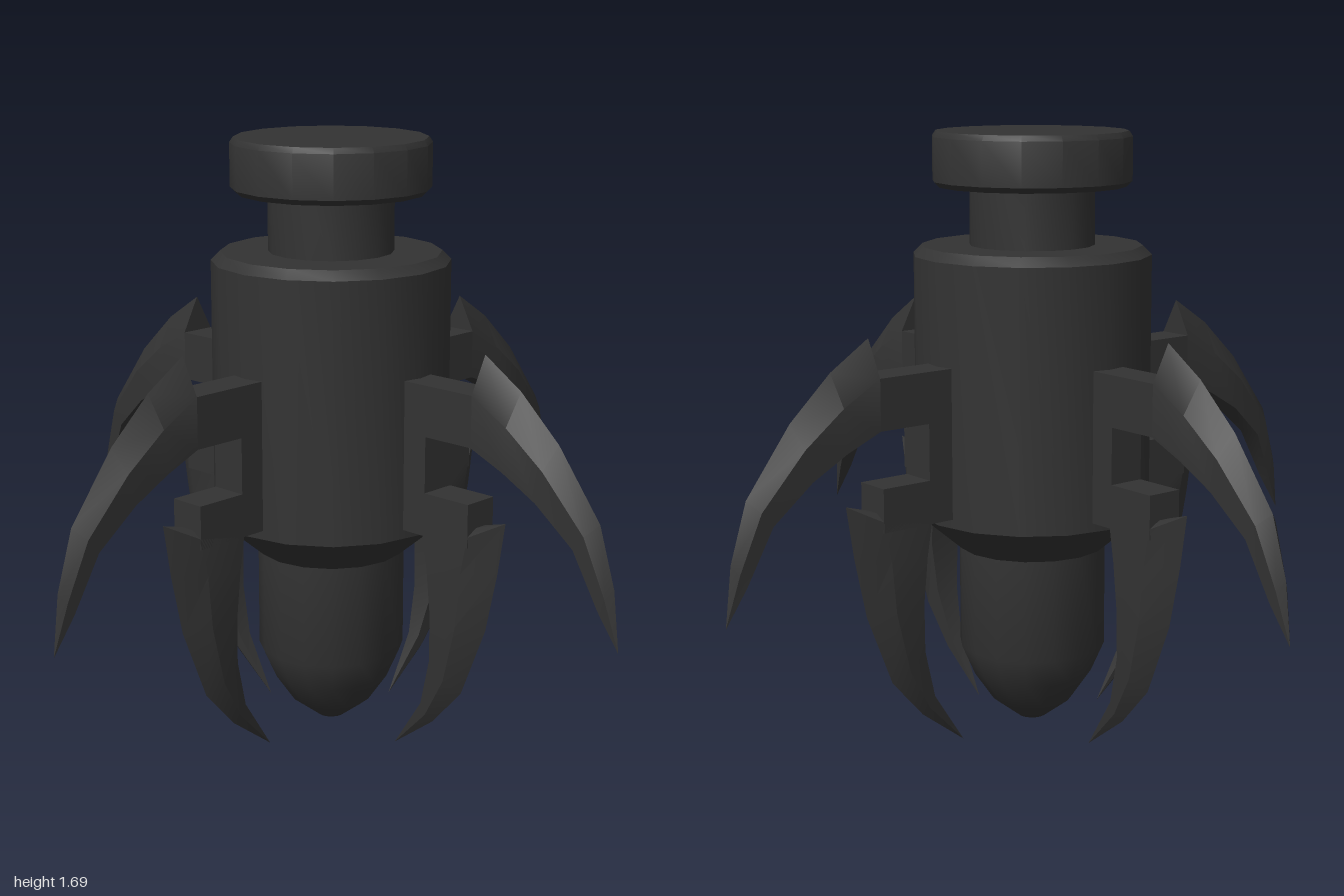
import * as THREE from 'three';
import { toCreasedNormals } from 'three/addons/utils/BufferGeometryUtils.js';

const material = new THREE.MeshStandardMaterial({ color: 0x333333 });

function part(name, geometry, crease = 0.6) {
  const mesh = new THREE.Mesh(toCreasedNormals(geometry, crease), material);
  mesh.name = name;
  return mesh;
}

function lathe(name, profile) {
  const points = profile.map(([r, y]) => new THREE.Vector2(r, y));
  return part(name, new THREE.LatheGeometry(points, 16));
}

// Five-sided blade: sharp ridge outside, flat inside, ending in a point.
// Each section is [outerX, outerY, innerX, innerY, halfWidth].
function blade(name, sections, shoulder) {
  const rings = sections.map(([ox, oy, ix, iy, w], i) => {
    let sx = ox + (ix - ox) * 0.42, sy = oy + (iy - oy) * 0.42;
    if (i === 0) [sx, sy] = shoulder;
    return [[ox, oy, 0], [sx, sy, w], [ix, iy, w], [ix, iy, -w], [sx, sy, -w]];
  });
  const pos = [];
  const last = rings.length - 1;
  for (let i = 0; i < last; i++) {
    for (let j = 0; j < 5; j++) {
      const k = (j + 1) % 5;
      const a = rings[i][j], b = rings[i][k], c = rings[i + 1][k], d = rings[i + 1][j];
      pos.push(...a, ...b, ...c);
      if (i + 1 < last) pos.push(...a, ...c, ...d);
    }
  }
  for (let j = 1; j < 4; j++) pos.push(...rings[0][0], ...rings[0][j + 1], ...rings[0][j]);
  const geometry = new THREE.BufferGeometry();
  geometry.setAttribute('position', new THREE.Float32BufferAttribute(pos, 3));
  return part(name, geometry);
}

// C-shaped bracket fixed to the body, with an upper and a lower arm
function bracket() {
  const shape = new THREE.Shape([
    [0.25, 0.67], [0.545, 0.67], [0.545, 0.79], [0.395, 0.79],
    [0.395, 0.945], [0.55, 0.945], [0.55, 1.085], [0.25, 1.085],
  ].map(([x, y]) => new THREE.Vector2(x, y)));
  const geometry = new THREE.ExtrudeGeometry(shape, { depth: 0.104, bevelEnabled: false });
  geometry.translate(0, 0, -0.052);
  return part('clawBracket', geometry);
}

function clawArm() {
  const arm = new THREE.Group();
  arm.name = 'clawArm';
  arm.add(
    bracket(),
    blade('upperClaw', [
      [0.55, 1.185, 0.55, 0.945, 0.052],
      [0.67, 1.107, 0.655, 0.90, 0.052],
      [0.795, 0.99, 0.76, 0.84, 0.048],
      [0.93, 0.81, 0.873, 0.74, 0.036],
      [0.98, 0.65, 0.945, 0.59, 0.02],
      [1.0, 0.485, 1.0, 0.485, 0],
    ], [0.55, 1.085]),
    blade('lowerClaw', [
      [0.63, 0.745, 0.39, 0.67, 0.052],
      [0.607, 0.60, 0.405, 0.58, 0.052],
      [0.57, 0.43, 0.415, 0.45, 0.048],
      [0.49, 0.228, 0.405, 0.31, 0.036],
      [0.39, 0.115, 0.362, 0.168, 0.02],
      [0.25, 0.01, 0.25, 0.01, 0],
    ], [0.545, 0.70]),
  );
  return arm;
}

export function createModel() {
  const model = new THREE.Group();
  model.name = 'clawedCapsule';

  // Body with rounded lower nose
  model.add(lathe('body', [
    [0, 0.025], [0.04, 0.028], [0.115, 0.085], [0.17, 0.165], [0.207, 0.25],
    [0.207, 0.54], [0.33, 0.645], [0.33, 1.365], [0.305, 1.39], [0, 1.39],
  ]));
  // Neck and cap
  model.add(lathe('neck', [[0.173, 1.385], [0.173, 1.56]]));
  model.add(lathe('cap', [
    [0, 1.55], [0.26, 1.55], [0.275, 1.565], [0.275, 1.685], [0.265, 1.7], [0, 1.7],
  ]));

  // Four arms around the body, each with two claws
  for (let i = 0; i < 4; i++) {
    const arm = clawArm();
    arm.rotation.y = (i * Math.PI) / 2;
    model.add(arm);
  }
  // Lowest claw tips rest on the ground
  model.children.forEach((child) => { child.position.y -= 0.01; });
  return model;
}
